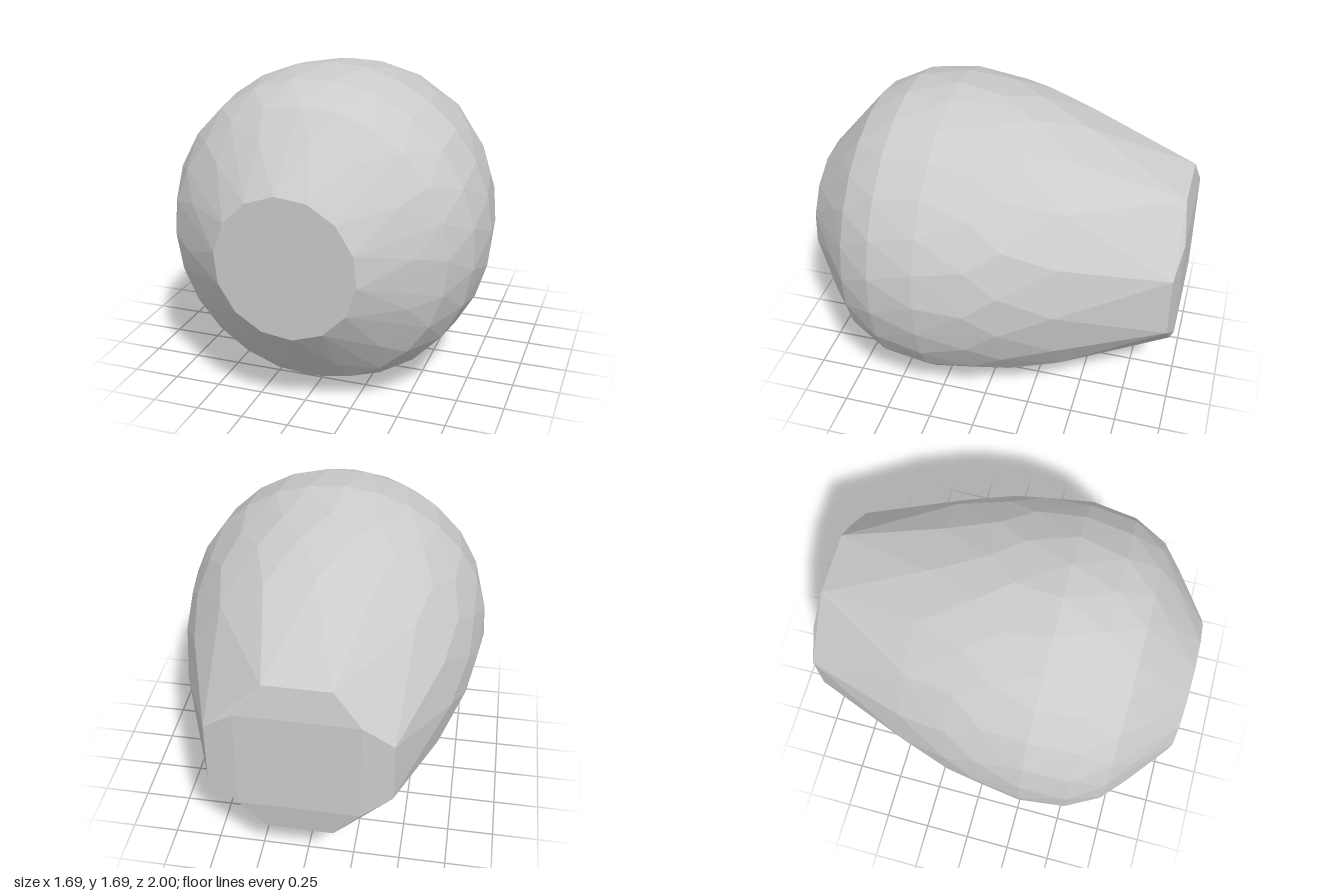
import * as THREE from 'three';
import { ConvexGeometry } from 'three/addons/geometries/ConvexGeometry.js';

const CENTRE_Y = 0.848;

export function createModel() {
  const group = new THREE.Group();
  const points = [];

  // Rings along the axis: z, radius, number of corners, angle of one corner in degrees
  const rings = [
    [1.0, 0.367, 14, 96],
    [0.81, 0.6, 14, 83],
    [0.7, 0.725, 24, 92],
    [0.52, 0.817, 24, 99],
    [0.27, 0.848, 28, 92],
    [0.02, 0.818, 20, 90],
    [-0.15, 0.783, 20, 99],
    [-0.42, 0.702, 16, 90],
  ];
  for (const [z, radius, count, start] of rings) {
    for (let i = 0; i < count; i++) {
      const a = THREE.MathUtils.degToRad(start + (i * 360) / count);
      points.push(new THREE.Vector3(radius * Math.cos(a), radius * Math.sin(a), z));
    }
  }

  // Back end: a flat square with shallow bevels out to eight rim corners
  for (const sx of [-1, 1]) {
    for (const sy of [-1, 1]) {
      points.push(
        new THREE.Vector3(sx * 0.31, sy * 0.29, -1),
        new THREE.Vector3(sx * 0.465, sy * 0.17, -0.972),
        new THREE.Vector3(sx * 0.17, sy * 0.468, -0.972)
      );
    }
  }

  // Faceted egg-shaped shell wrapped around the rings
  const material = new THREE.MeshStandardMaterial({ color: 0xcccccc, flatShading: true });
  const body = new THREE.Mesh(new ConvexGeometry(points), material);
  body.name = 'facetedBody';
  body.position.y = CENTRE_Y;
  group.add(body);
  return group;
}
